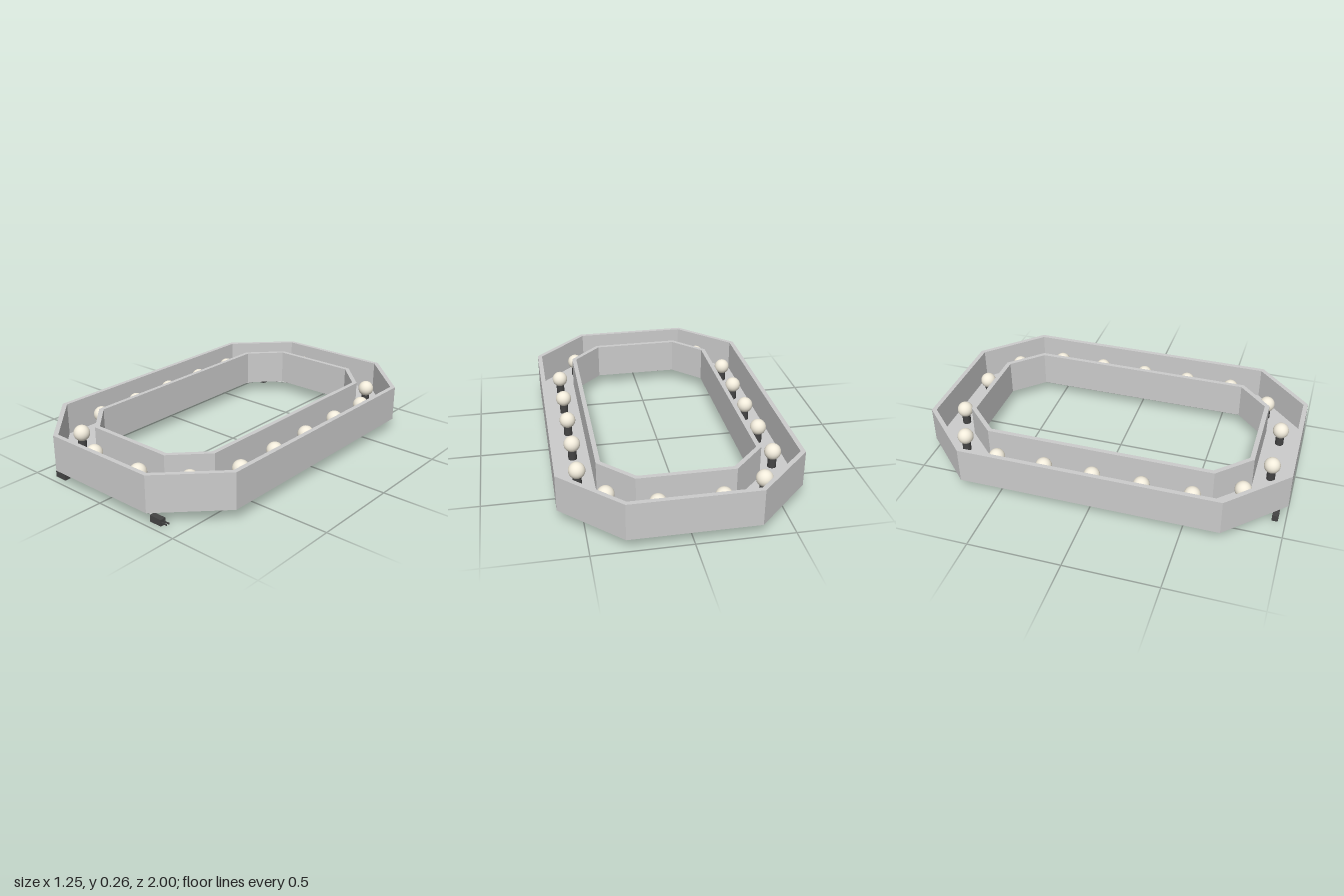
import * as THREE from 'three';

const grey = new THREE.MeshStandardMaterial({ color: 0xcccccc, flatShading: true });
const smoothGrey = new THREE.MeshStandardMaterial({ color: 0xcccccc });
const dark = new THREE.MeshStandardMaterial({ color: 0x444444 });
const cream = new THREE.MeshStandardMaterial({ color: 0xf2ecdc });

// Octagon outline, counter-clockwise: half width, half length and the cut corner points
function octagon(w, l, cx, cz) {
  return [[cx, l], [-cx, l], [-w, cz], [-w, -cz], [-cx, -l], [cx, -l], [w, -cz], [w, cz]]
    .map(([x, y]) => new THREE.Vector2(x, y));
}

// Upright ring between two outlines
function ring(name, outer, inner, y0, y1) {
  const shape = new THREE.Shape(outer);
  shape.holes.push(new THREE.Path(inner));
  const geo = new THREE.ExtrudeGeometry(shape, { depth: y1 - y0, bevelEnabled: false });
  geo.rotateX(-Math.PI / 2);
  const mesh = new THREE.Mesh(geo, grey);
  mesh.name = name;
  mesh.position.y = y0;
  return mesh;
}

function add(parent, name, geo, material, x, y, z) {
  const mesh = new THREE.Mesh(geo, material);
  mesh.name = name;
  mesh.position.set(x, y, z);
  parent.add(mesh);
}

export function createModel() {
  const model = new THREE.Group();
  model.name = 'lightTray';

  // Trough: floor with an outer and an inner wall, open at the top
  const bottom = 0.068, floorTop = 0.09, top = 0.265;
  const outside = octagon(0.627, 1, 0.33, 0.703);
  const outsideInner = octagon(0.602, 0.975, 0.32, 0.693);
  const insideOuter = octagon(0.42, 0.795, 0.25, 0.62);
  const inside = octagon(0.396, 0.77, 0.24, 0.61);
  model.add(ring('floor', outside, inside, bottom, floorTop));
  model.add(ring('outerWall', outside, outsideInner, floorTop, top));
  model.add(ring('innerWall', insideOuter, inside, floorTop, top));

  // Lamp positions, in order along the cable
  const spots = [[-0.395, 0.77]];
  for (let i = 2; i >= -2; i--) spots.push([-0.51, i * 0.266]);
  spots.push([-0.395, -0.77], [-0.16, -0.883], [0.16, -0.883], [0.395, -0.77]);
  for (let i = -2; i <= 2; i++) spots.push([0.51, i * 0.266]);
  spots.push([0.395, 0.77], [0.16, 0.883], [-0.16, 0.883]);
  const lamps = spots.map(([x, z]) => [x - 0.002, z - 0.002]);

  const socketGeo = new THREE.CylinderGeometry(0.023, 0.023, 0.12, 24);
  const bulbGeo = new THREE.SphereGeometry(0.044, 24, 16);
  for (const [x, z] of lamps) {
    const lamp = new THREE.Group();
    lamp.name = 'lamp';
    lamp.position.set(x, 0, z);
    add(lamp, 'socket', socketGeo, dark, 0, 0.085, 0);
    add(lamp, 'bulb', bulbGeo, cream, 0, 0.18, 0);
    model.add(lamp);
  }

  // Cable sagging and bowing out a little between lamps, with a plug at each end
  const stops = [[-0.35, 0.945], ...lamps, [0.32, 0.945]];
  for (let i = 0; i < stops.length - 1; i++) {
    const [ax, az] = stops[i], [bx, bz] = stops[i + 1];
    const curve = new THREE.QuadraticBezierCurve3(
      new THREE.Vector3(ax, i === 0 ? 0.03 : 0.036, az),
      new THREE.Vector3((ax + bx) * 0.51, 0.029, (az + bz) * 0.51),
      new THREE.Vector3(bx, i === stops.length - 2 ? 0.03 : 0.036, bz));
    add(model, 'cable', new THREE.TubeGeometry(curve, 10, 0.0035, 8), smoothGrey, 0, 0, 0);
  }

  const plugGeo = new THREE.BoxGeometry(0.072, 0.035, 0.032);
  add(model, 'socketEnd', plugGeo, dark, -0.351, 0.0175, 0.945);
  add(model, 'plugEnd', plugGeo, dark, 0.349, 0.0175, 0.945);
  for (const z of [0.937, 0.953]) {
    add(model, 'prong', new THREE.BoxGeometry(0.034, 0.008, 0.004), dark, 0.4, 0.0175, z);
  }
  return model;
}
